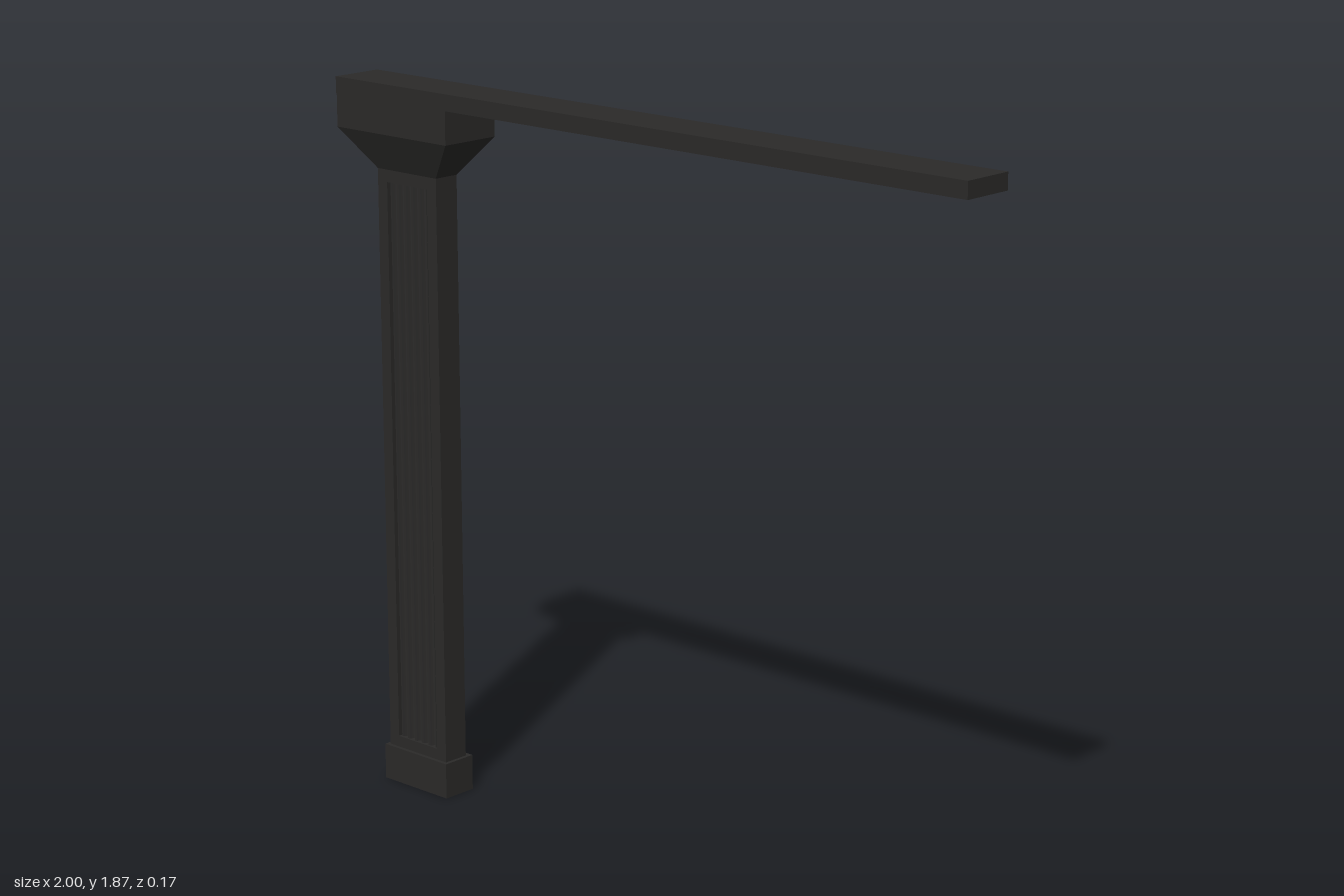
import * as THREE from 'three';

const material = new THREE.MeshStandardMaterial({ color: 0x2b2a29 });

function add(group, name, geometry) {
  const mesh = new THREE.Mesh(geometry, material);
  mesh.name = name;
  group.add(mesh);
  return mesh;
}

// Box given by its limits on each axis
function box(x0, x1, y0, y1, z0, z1) {
  return new THREE.BoxGeometry(x1 - x0, y1 - y0, z1 - z0)
    .translate((x0 + x1) / 2, (y0 + y1) / 2, (z0 + z1) / 2);
}

function rectangle(Type, x0, x1, y0, y1) {
  return new Type([[x0, y0], [x1, y0], [x1, y1], [x0, y1]].map(p => new THREE.Vector2(...p)));
}

// Strip with concave vertical grooves, running upward from y0 to y1
function flutedStrip(x0, x1, y0, y1, back, crest, count) {
  const pitch = (x1 - x0) / count, land = 0.15, steps = 8;
  const points = [new THREE.Vector2(x1, -back), new THREE.Vector2(x0, -back)];
  for (let i = 0; i < count; i++) {
    const start = x0 + i * pitch;
    points.push(new THREE.Vector2(start, -crest));
    for (let s = 0; s <= steps; s++) {
      const t = s / steps;
      const z = crest - (crest - back) * 0.85 * Math.sin(Math.PI * t);
      points.push(new THREE.Vector2(start + pitch * (land + (1 - 2 * land) * t), -z));
    }
  }
  points.push(new THREE.Vector2(x1, -crest));
  return new THREE.ExtrudeGeometry(new THREE.Shape(points), { depth: y1 - y0, bevelEnabled: false })
    .rotateX(-Math.PI / 2).translate(0, y0, 0);
}

export function createModel() {
  const model = new THREE.Group();
  const column = new THREE.Group();
  column.name = 'column';
  model.add(column);

  add(column, 'base', box(-0.915, -0.685, 0, 0.095, -0.05, 0.046));

  // Shaft: solid back, framed front and a fluted inset panel
  add(column, 'shaft', box(-0.905, -0.695, 0.095, 1.64, -0.036, 0.016));
  const frame = rectangle(THREE.Shape, -0.905, -0.695, 0.095, 1.64);
  frame.holes.push(rectangle(THREE.Path, -0.872, -0.728, 0.125, 1.608));
  add(column, 'shaftFrame', new THREE.ExtrudeGeometry(frame, { depth: 0.02, bevelEnabled: false })
    .translate(0, 0, 0.016));
  add(column, 'flutedPanel', flutedStrip(-0.865, -0.735, 0.125, 1.608, 0.016, 0.031, 5));

  // Capital: flare whose lower edge narrows to the shaft, then a block
  const flare = box(-1, -0.61, 1.64, 1.74, -0.087, 0.083);
  const p = flare.attributes.position;
  for (let i = 0; i < p.count; i++) {
    if (p.getY(i) > 1.7) continue;
    p.setX(i, p.getX(i) < -0.8 ? -0.905 : -0.695);
    p.setZ(i, Math.sign(p.getZ(i)) * 0.036);
  }
  flare.computeVertexNormals();
  add(column, 'capitalFlare', flare);
  add(column, 'capitalBlock', box(-1, -0.61, 1.74, 1.826, -0.087, 0.083));

  add(model, 'beam', box(-1, 1, 1.826, 1.868, -0.057, 0.085));
  return model;
}
